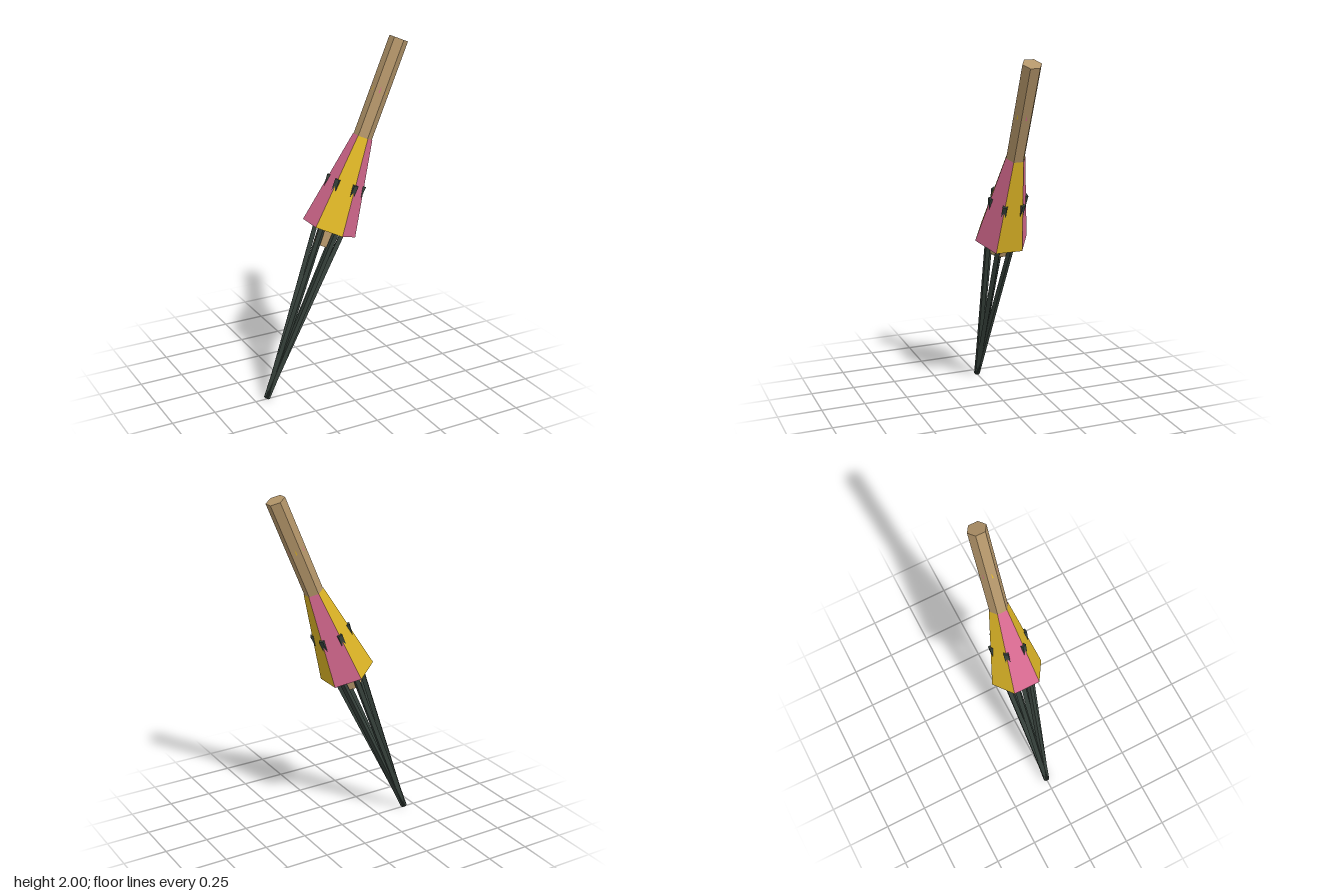
import * as THREE from 'three';

export function createModel() {
  const mat = (name, color, side = THREE.FrontSide) => {
    const m = new THREE.MeshStandardMaterial({ color, flatShading: true, side });
    m.name = name;
    return m;
  };
  const wood = mat('wood', 0xb4966a);
  const ribDark = mat('dark rib', 0x36413b);
  const yellow = mat('yellow cloth', 0xdcb426, THREE.DoubleSide);
  const pink = mat('pink cloth', 0xd76a90, THREE.DoubleSide);

  const model = new THREE.Group();
  model.name = 'closedParasol';

  // Everything is built upright along y, then leaned over
  const parasol = new THREE.Group();
  parasol.name = 'leaningParasol';
  parasol.position.set(-0.431, 0.009, 0);
  parasol.rotation.z = -THREE.MathUtils.degToRad(22.7);
  model.add(parasol);

  const add = (name, geometry, material, parent = parasol) => {
    const mesh = new THREE.Mesh(geometry, material);
    mesh.name = name;
    parent.add(mesh);
    return mesh;
  };

  // Hexagonal pole running through the canopy
  const poleR = 0.053, poleLow = 0.937, poleHigh = 2.14;
  add('pole', new THREE.CylinderGeometry(poleR, poleR, poleHigh - poleLow, 6), wood)
    .position.y = (poleLow + poleHigh) / 2;

  // Six cloth panels in alternating colours, with the matching ribs and pole marks
  const low = 1.037, high = 1.576, step = Math.PI / 3;
  const ribTop = 1.32, ribR = 0.1, lean = Math.atan2(ribR, ribTop);
  for (let k = 0; k < 6; k++) {
    const cloth = k % 2 ? yellow : pink;
    add('canopyPanel', new THREE.CylinderGeometry(0.056, 0.153, high - low, 1, 1, true, k * step, step), cloth)
      .position.y = (low + high) / 2;

    // Rib from the shared tip out to a canopy corner, its end poking through the cloth
    const spoke = new THREE.Group();
    spoke.name = 'ribSpoke';
    spoke.rotation.y = k * step;
    parasol.add(spoke);
    const rib = add('rib', new THREE.BoxGeometry(0.026, Math.hypot(ribTop, ribR), 0.024), ribDark, spoke);
    rib.position.set(0, ribTop / 2, ribR / 2);
    rib.rotation.x = lean;

    // Tiny cloth mark on each pole face, in the opposite colour
    const side = new THREE.Group();
    side.name = 'poleMark';
    side.rotation.y = (k + 0.5) * step;
    parasol.add(side);
    const shape = new THREE.Shape([
      new THREE.Vector2(-0.004, -0.018),
      new THREE.Vector2(0.004, -0.018),
      new THREE.Vector2(0, 0.018),
    ]);
    add('mark', new THREE.ShapeGeometry(shape), k % 2 ? pink : yellow, side)
      .position.set(0, 1.85, poleR * Math.cos(step / 2) + 0.001);
  }
  return model;
}
